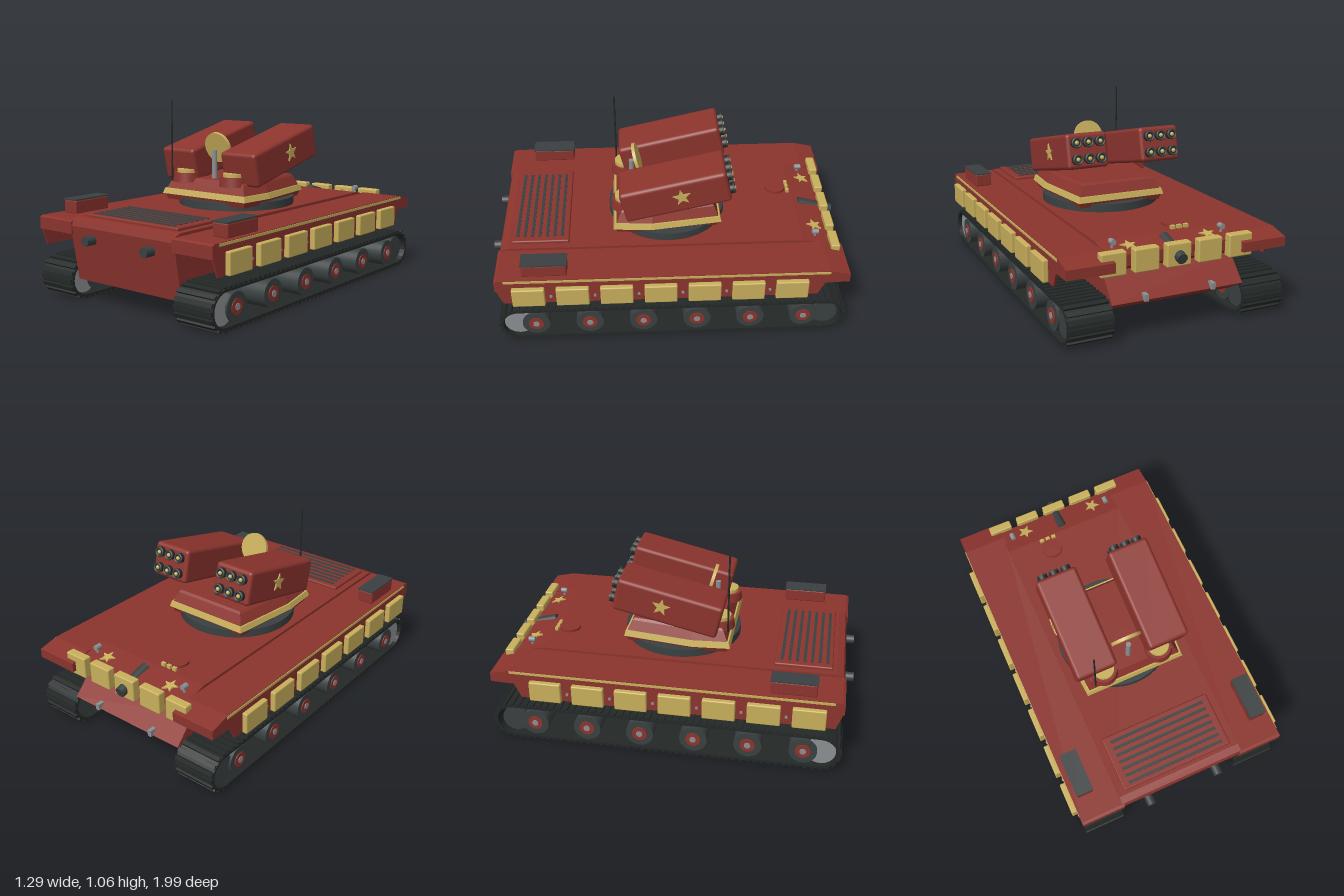
import * as THREE from 'three';
import { mergeGeometries } from 'three/addons/utils/BufferGeometryUtils.js';
import { RoundedBoxGeometry } from 'three/addons/geometries/RoundedBoxGeometry.js';

const mat = (name, color) => {
  const m = new THREE.MeshStandardMaterial({ color });
  m.name = name;
  return m;
};

// Extrude a (z, y) side profile across x from x0 to x1
function sideExtrude(points, x0, x1, hole) {
  const shape = new THREE.Shape(points.map(([z, y]) => new THREE.Vector2(z, y)));
  if (hole) shape.holes.push(new THREE.Path(hole.map(([z, y]) => new THREE.Vector2(z, y))));
  const g = new THREE.ExtrudeGeometry(shape, { depth: x1 - x0, bevelEnabled: false });
  return g.rotateY(-Math.PI / 2).translate(x1, 0, 0);
}

// Stack scaled copies of an (x, z) outline at the given heights, closed at both ends
function loft(outline, levels) {
  const pos = [], n = outline.length;
  const at = (l, i) => [outline[i % n][0] * levels[l][1], levels[l][0], outline[i % n][1] * levels[l][1]];
  const top = levels.length - 1;
  for (let i = 0; i < n; i++) {
    for (let l = 0; l < top; l++) {
      const a = at(l, i), b = at(l, i + 1), c = at(l + 1, i + 1), d = at(l + 1, i);
      pos.push(...a, ...d, ...c, ...a, ...c, ...b);
    }
    pos.push(0, levels[top][0], 0, ...at(top, i + 1), ...at(top, i));
    pos.push(0, levels[0][0], 0, ...at(0, i), ...at(0, i + 1));
  }
  const g = new THREE.BufferGeometry();
  g.setAttribute('position', new THREE.Float32BufferAttribute(pos, 3));
  g.computeVertexNormals();
  return g;
}

// Thin five-pointed star facing +z
function starGeometry(r) {
  const s = new THREE.Shape();
  for (let i = 0; i < 10; i++) {
    const a = Math.PI / 2 + i * Math.PI / 5, q = i % 2 ? r * 0.42 : r;
    s[i ? 'lineTo' : 'moveTo'](Math.cos(a) * q, Math.sin(a) * q);
  }
  return new THREE.ExtrudeGeometry(s, { depth: 0.008, bevelEnabled: false });
}

// Point on the rounded track path, t measured in distance along the loop
const TRACK = { z0: -0.875, z1: 0.85, y: 0.112, r: 0.1 };
function trackPoint(t, r) {
  const { z0, z1, y } = TRACK, len = z1 - z0, arc = Math.PI * TRACK.r;
  if (t < len) return [z0 + t, y - r, -Math.PI / 2];
  if (t < len + arc) {
    const a = -Math.PI / 2 + (t - len) / TRACK.r;
    return [z1 + Math.cos(a) * r, y + Math.sin(a) * r, a];
  }
  if (t < 2 * len + arc) return [z1 - (t - len - arc), y + r, Math.PI / 2];
  const a = Math.PI / 2 + (t - 2 * len - arc) / TRACK.r;
  return [z0 + Math.cos(a) * r, y + Math.sin(a) * r, a];
}

export function createModel() {
  const red = mat('armour red', 0x8c342d), sand = mat('sand yellow', 0xc9b05c);
  const dark = mat('dark metal', 0x3a4041), black = mat('track black', 0x232827);
  const steel = mat('steel grey', 0x8c9093);
  const model = new THREE.Group();
  model.name = 'rocketVehicle';

  const add = (name, geo, m, x = 0, y = 0, z = 0, parent = model) => {
    const mesh = new THREE.Mesh(geo, m);
    mesh.name = name;
    mesh.position.set(x, y, z);
    parent.add(mesh);
    return mesh;
  };
  const box = (w, h, d) => new THREE.BoxGeometry(w, h, d);
  const soft = (w, h, d, r) => new RoundedBoxGeometry(w, h, d, 2, r);
  const cyl = (r, h, axis = 'y', n = 24, r2 = r) => {
    const g = new THREE.CylinderGeometry(r2, r, h, n);
    if (axis === 'x') g.rotateZ(Math.PI / 2);
    if (axis === 'z') g.rotateX(Math.PI / 2);
    return g;
  };

  // Hull with sloped nose and slightly undercut rear plate
  add('hull', sideExtrude([[0.9, 0.12], [0.95, 0.42], [0.94, 0.45], [0.9, 0.463], [-0.75, 0.463],
    [-0.91, 0.43], [-0.91, 0.37], [-0.84, 0.33], [-0.96, 0.2], [-0.82, 0.12]], -0.37, 0.37), red);

  // Engine deck grille
  add('engineCover', soft(0.66, 0.025, 0.32, 0.008), red, 0, 0.467, 0.72);
  for (let i = 0; i < 7; i++) add('grilleSlat', box(0.58, 0.008, 0.016), dark, 0, 0.48, 0.6 + i * 0.0415);

  // Driver hatch with periscopes
  add('hatch', cyl(0.06, 0.02), red, -0.12, 0.468, -0.66);
  for (let i = -1; i < 2; i++) add('periscope', box(0.025, 0.02, 0.018), sand, -0.12 + i * 0.038, 0.472, -0.73);

  // Nose armour blocks and nose tube
  for (let i = -2; i < 3; i++) add('noseBlock', soft(0.137, 0.122, 0.05, 0.008), sand, i * 0.179, 0.404, -0.928);
  add('noseTube', cyl(0.029, 0.21, 'z'), dark, 0, 0.418, -0.88).rotation.x = -0.27;

  // Outlines for the tracks
  const { z0, z1, r } = TRACK, loop = 2 * (z1 - z0) + 2 * Math.PI * r;
  const ring = (rad) => Array.from({ length: 26 }, (_, i) => {
    const half = i < 13, a = -Math.PI / 2 + (half ? i : i - 1) * Math.PI / 12;
    return [(half ? z1 : z0) + Math.cos(a) * rad, TRACK.y + Math.sin(a) * rad];
  });
  const cleats = [], count = 104;
  for (let i = 0; i < count; i++) {
    const [z, y, a] = trackPoint(i * loop / count, 0.105);
    cleats.push(box(0.24, 0.013, 0.022).rotateX(Math.PI / 2 - a).translate(0, y, z));
  }
  const cleatGeo = mergeGeometries(cleats);
  const beltGeo = sideExtrude(ring(0.101), -0.122, 0.122, ring(0.088));

  for (const s of [-1, 1]) {
    // Fender, skirt and trim stripe
    const span = (a, b) => (s > 0 ? [a, b] : [-b, -a]);
    add('fender', sideExtrude([[0.955, 0.375], [0.955, 0.44], [0.94, 0.448], [-0.86, 0.448],
      [-0.975, 0.422], [-0.975, 0.37], [-0.84, 0.365]], ...span(0.36, 0.615)), red);
    add('skirt', sideExtrude([[0.95, 0.38], [0.915, 0.283], [-0.805, 0.283], [-0.85, 0.38]],
      ...span(0.602, 0.614)), red);
    add('trimStripe', box(0.006, 0.014, 1.77), sand, s * 0.616, 0.438, 0.02);

    // Side armour blocks with bolts between them
    for (let i = 0; i < 7; i++) {
      const z = 0.775 - i * 0.239;
      add('sideBlock', soft(0.032, 0.118, 0.178, 0.007), sand, s * 0.63, 0.343, z);
      if (i < 6) add('skirtBolt', cyl(0.008, 0.012, 'x', 10), steel, s * 0.616, 0.33, z - 0.12);
    }

    // Stowage box, exhaust, lamp, tow hook and deck star
    add('stowageBox', soft(0.095, 0.075, 0.245, 0.008), red, s * 0.537, 0.483, 0.685);
    add('stowageLid', box(0.099, 0.008, 0.25), dark, s * 0.537, 0.523, 0.685);
    add('exhaust', cyl(0.026, 0.08, 'z'), dark, s * 0.21, 0.36, 0.958);
    add('headlamp', cyl(0.015, 0.036, 'z', 14), steel, s * 0.312, 0.478, -0.83);
    add('lampPost', cyl(0.008, 0.03, 'y', 10), steel, s * 0.312, 0.455, -0.83);
    add('towHook', box(0.022, 0.035, 0.04), steel, s * 0.19, 0.215, -0.955);
    add('deckStar', starGeometry(0.046), sand, s * 0.225, 0.448, -0.84)
      .rotation.set(-Math.PI / 2 - 0.2, 0, Math.PI, 'XYZ');

    // Track belt and running gear
    add('trackBelt', beltGeo, black, s * 0.488);
    add('trackCleats', cleatGeo, black, s * 0.488);
    add('sprocket', cyl(0.082, 0.2, 'x', 28), steel, s * 0.488, TRACK.y, z1);
    add('idler', cyl(0.075, 0.2, 'x', 28), dark, s * 0.488, TRACK.y, z0 + 0.01);
    for (let i = 0; i < 6; i++) {
      const z = 0.755 - i * 0.3;
      add('roadWheel', cyl(0.077, 0.215, 'x', 28), dark, s * 0.492, 0.107, z);
      add('wheelDisc', cyl(0.042, 0.22, 'x'), red, s * 0.494, 0.107, z);
      add('wheelHub', cyl(0.018, 0.23, 'x', 14), steel, s * 0.493, 0.107, z);
    }
  }

  // Turret ring and body
  const turret = new THREE.Group();
  turret.name = 'turret';
  model.add(turret);
  const outline = [[0.315, 0.1], [0.3, 0.31], [-0.3, 0.31], [-0.315, 0.1], [-0.26, -0.3], [0.26, -0.3]];
  add('turretRing', cyl(0.335, 0.05, 'y', 48), dark, 0, 0.483, 0, turret);
  add('turretBody', loft(outline, [[0.49, 0.93], [0.525, 0.97], [0.555, 0.94], [0.61, 0.86], [0.622, 0.82]]),
    red, 0, 0, 0, turret);
  add('turretBand', loft(outline, [[0.523, 1], [0.555, 0.97]]), sand, 0, 0, 0, turret);

  // Radar post and dish, antenna
  add('radarPost', cyl(0.015, 0.18, 'y', 14), steel, 0, 0.695, 0.2, turret);
  add('radarDish', cyl(0.088, 0.018, 'y', 36), sand, 0, 0.797, 0.168, turret).rotation.x = Math.PI / 2 + 0.27;
  add('antenna', cyl(0.005, 0.46, 'y', 8), black, -0.242, 0.83, 0.29, turret);

  for (const s of [-1, 1]) {
    // Hatch cupola
    add('cupola', cyl(0.082, 0.052, 'y', 28, 0.076), red, s * 0.17, 0.624, 0.238, turret);
    add('cupolaRing', cyl(0.06, 0.022, 'y', 28), sand, s * 0.17, 0.659, 0.238, turret);

    // Launcher pod, tilted up toward the nose, with six tubes
    const pod = new THREE.Group();
    pod.name = 'launcherPod';
    pod.position.set(s * 0.218, 0.757, -0.035);
    pod.rotation.x = 0.229;
    turret.add(pod);
    add('podCase', soft(0.24, 0.192, 0.595, 0.02), red, 0, 0, 0, pod);
    add('podStar', starGeometry(0.052), sand, s * 0.118, 0.005, -0.035, pod).rotation.y = s * Math.PI / 2;
    for (let c = -1; c < 2; c++) for (const v of [-0.045, 0.045]) {
      add('launchTube', cyl(0.028, 0.03, 'z', 18), black, c * 0.069, v, -0.305, pod);
      add('tubeRim', new THREE.TorusGeometry(0.024, 0.006, 6, 18), dark, c * 0.069, v, -0.32, pod);
      add('rocketTip', new THREE.SphereGeometry(0.012, 10, 8), sand, c * 0.069, v, -0.32, pod);
    }
  }
  return model;
}
